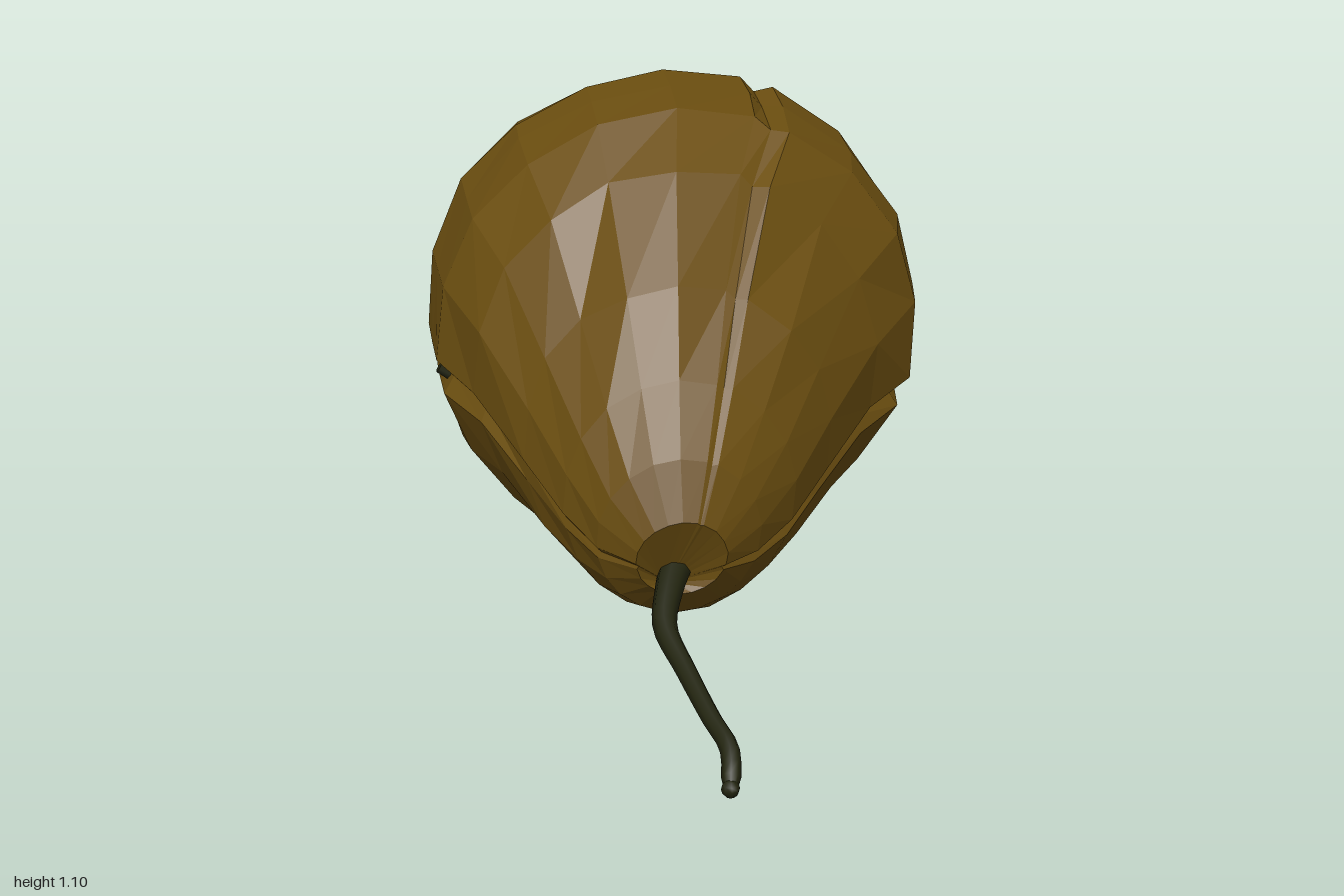
import * as THREE from 'three';
import { mergeVertices } from 'three/addons/utils/BufferGeometryUtils.js';

const skin = new THREE.MeshStandardMaterial({ color: 0x6b4e10 });
skin.name = 'ochre skin';
const bark = new THREE.MeshStandardMaterial({ color: 0x22240f });
bark.name = 'dark stem';

// Cross-sections from neck to base: z, left x, right x, bottom y, top y, tilt
const RINGS = [
  [0.44, -0.15, -0.09, 0.20, 0.26, 0.01],
  [0.475, -0.20, -0.01, 0.19, 0.37, 0.025],
  [0.42, -0.275, 0.07, 0.12, 0.49, 0.035],
  [0.33, -0.335, 0.16, 0.09, 0.62, 0.01],
  [0.19, -0.405, 0.265, 0.08, 0.78, 0],
  [0.00, -0.495, 0.41, 0.07, 0.98, 0],
  [-0.16, -0.57, 0.54, 0.035, 1.08, 0],
  [-0.32, -0.58, 0.57, 0.005, 1.10, 0],
  [-0.47, -0.58, 0.575, 0.005, 1.11, 0],
  [-0.61, -0.55, 0.53, 0.06, 1.07, 0],
  [-0.75, -0.46, 0.46, 0.155, 1.02, 0],
  [-0.87, -0.36, 0.38, 0.28, 0.965, 0],
  [-0.955, -0.27, 0.29, 0.39, 0.86, 0.01],
  [-0.99, -0.17, 0.20, 0.46, 0.75, 0.01],
  [-0.91, -0.05, 0.08, 0.54, 0.64, 0],
];

// Creases dividing the fruit into lobes: angle in degrees, depth, facets to the next crease
const CREASES = [
  [-18, 0.09, 4], [68, 0.035, 6], [188, 0.05, 4], [263, 0.025, 4],
];

// Ring vertices as [angle, pull-in], with each crease kept narrow
function ringPoints() {
  const points = [];
  CREASES.forEach(([start, depth, facets], i) => {
    const end = i < CREASES.length - 1 ? CREASES[i + 1][0] : CREASES[0][0] + 360;
    points.push([start, depth]);
    for (let k = 0; k <= facets; k++) {
      points.push([start + 4 + (end - start - 8) * k / facets, 0]);
    }
  });
  return points;
}

function noise(i, j) {
  const n = Math.sin(i * 12.99 + j * 78.23) * 43758.55;
  return n - Math.floor(n) - 0.5;
}

function fruitGeometry() {
  const points = ringPoints();
  const n = points.length;
  const positions = [], index = [];
  RINGS.forEach(([z, x0, x1, y0, y1, tilt], i) => {
    const cx = (x0 + x1) / 2, cy = (y0 + y1) / 2;
    const rx = (x1 - x0) / 2, ry = (y1 - y0) / 2;
    points.forEach(([degrees, pull], j) => {
      const a = THREE.MathUtils.degToRad(degrees);
      const r = 1 - pull + 0.018 * noise(i, j);
      const shift = i > 3 && i < 12 ? 0.05 * noise(j, i + 7) : 0;
      positions.push(
        cx + rx * r * Math.cos(a),
        Math.max(0, cy + ry * r * Math.sin(a)),
        z + tilt * Math.sin(a) + shift,
      );
      if (i === 0) return;
      const k = (j + 1) % n;
      const a0 = (i - 1) * n + j, b0 = (i - 1) * n + k;
      index.push(a0, a0 + n, b0, b0, a0 + n, b0 + n);
    });
  });
  // Close the neck and the base hollow
  const front = positions.length / 3, last = (RINGS.length - 1) * n;
  positions.push(-0.12, 0.23, 0.43, 0.015, 0.59, -0.88);
  for (let j = 0; j < n; j++) {
    const k = (j + 1) % n;
    index.push(front, j, k, front + 1, last + k, last + j);
  }
  const geometry = new THREE.BufferGeometry();
  geometry.setAttribute('position', new THREE.Float32BufferAttribute(positions, 3));
  geometry.setIndex(index);
  const faceted = geometry.toNonIndexed();
  faceted.computeVertexNormals();
  return faceted;
}

// Tapered eight-sided stem with a rounded tip
function stemGeometry() {
  const path = new THREE.CatmullRomCurve3([
    [-0.11, 0.24, 0.42], [-0.135, 0.215, 0.49], [-0.155, 0.18, 0.58],
    [-0.13, 0.14, 0.70], [-0.10, 0.10, 0.83], [-0.078, 0.075, 0.91],
    [-0.088, 0.03, 0.985],
  ].map((p) => new THREE.Vector3(...p)));
  const steps = 22, sides = 8;
  let geometry = new THREE.TubeGeometry(path, steps, 1, sides, false);
  const position = geometry.attributes.position;
  const v = new THREE.Vector3();
  for (let i = 0; i <= steps; i++) {
    const t = i / steps;
    const centre = path.getPointAt(t);
    const radius = i === steps ? 0.012 : 0.019 + 0.016 * Math.pow(1 - t, 3);
    for (let j = 0; j <= sides; j++) {
      const id = i * (sides + 1) + j;
      v.fromBufferAttribute(position, id).sub(centre).multiplyScalar(radius).add(centre);
      position.setXYZ(id, v.x, v.y, v.z);
    }
  }
  geometry.deleteAttribute('uv');
  geometry.deleteAttribute('normal');
  geometry = mergeVertices(geometry);
  geometry.computeVertexNormals();
  return geometry;
}

function addMesh(group, name, geometry, material) {
  const mesh = new THREE.Mesh(geometry, material);
  mesh.name = name;
  group.add(mesh);
  return mesh;
}

export function createModel() {
  const group = new THREE.Group();
  group.name = 'fruit';
  addMesh(group, 'body', fruitGeometry(), skin);
  addMesh(group, 'stem', stemGeometry(), bark);

  // Rounded stem end
  const tip = addMesh(group, 'stemTip', new THREE.SphereGeometry(0.018, 8, 6), bark);
  tip.position.set(-0.088, 0.032, 0.98);

  // Small dark sliver caught in the side crease
  const sliver = addMesh(group, 'creaseSliver', new THREE.CylinderGeometry(0.014, 0.018, 0.07, 6), bark);
  sliver.position.set(-0.535, 0.475, -0.2);
  sliver.rotation.z = 1.0;
  return group;
}
